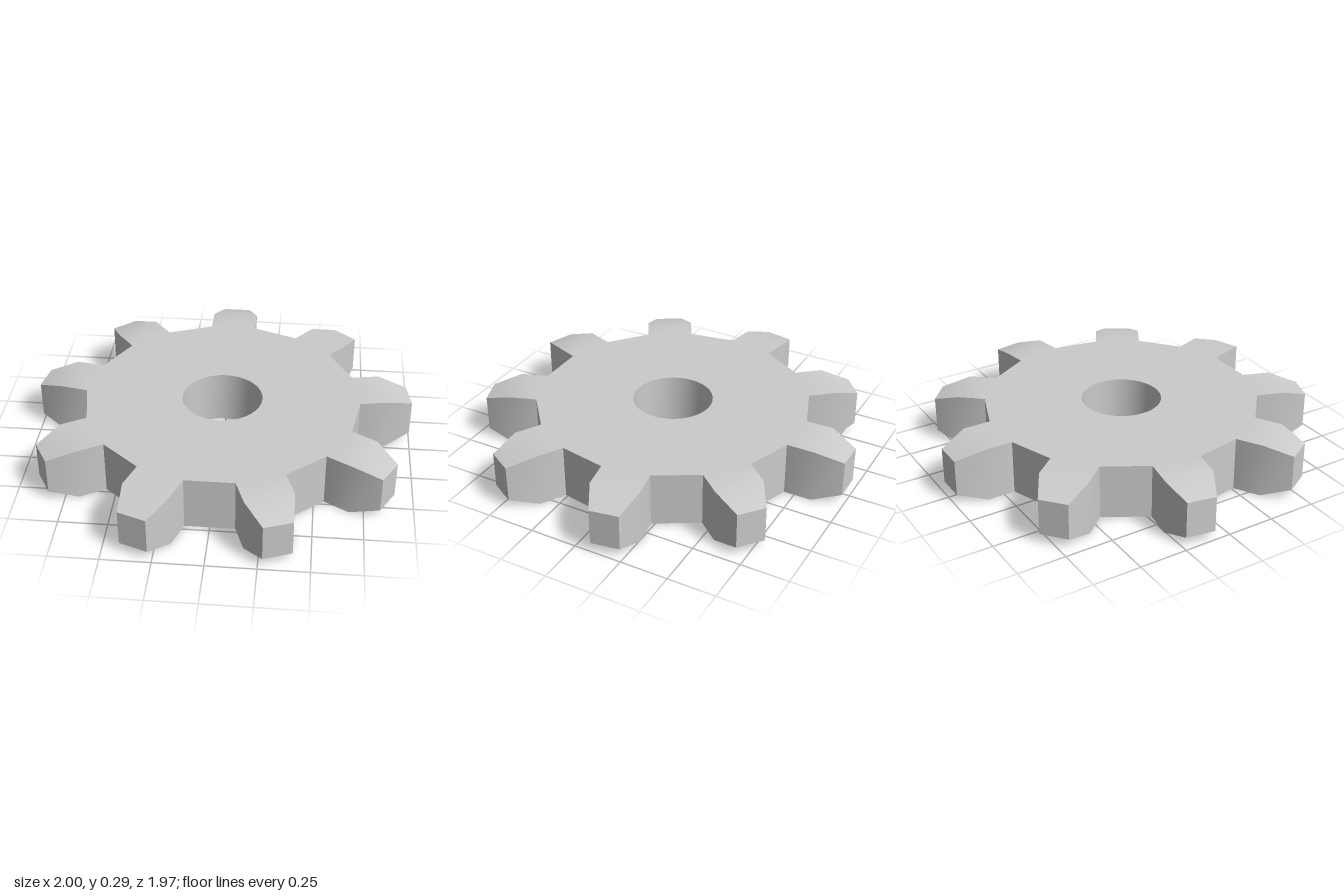
import * as THREE from 'three';
import { toCreasedNormals } from 'three/addons/utils/BufferGeometryUtils.js';

const TEETH = 9, HOLE_SEGMENTS = 36, HOLE_RADIUS = 0.21;
const HALF = 0.143;        // half thickness of the disc
const TIP_HALF = 0.095;    // half thickness at the tooth tips
const CENTRE_Z = 0.015;

export function createModel() {
  const positions = [];
  const point = (x, z, h = HALF) => ({ x, z, h });
  const put = (p, side) => positions.push(p.x, HALF + side * p.h, p.z + CENTRE_Z);

  // One triangle on the upper face and its mirror on the lower face
  const cap = (a, b, c) => {
    const up = (b.z - a.z) * (c.x - a.x) - (b.x - a.x) * (c.z - a.z) > 0;
    const [p, q, r] = up ? [a, b, c] : [a, c, b];
    put(p, 1); put(q, 1); put(r, 1);
    put(p, -1); put(r, -1); put(q, -1);
  };
  const capQuad = (a, b, c, d) => { cap(a, b, c); cap(a, c, d); };

  // Upright wall between two points, facing left of the walk seen from above
  const wall = (p, q) => {
    put(p, 1); put(q, 1); put(q, -1);
    put(p, 1); put(q, -1); put(p, -1);
  };

  // Teeth: straight root section, then a tip tapered in width and thickness
  const teeth = [];
  for (let i = 0; i < TEETH; i++) {
    const a = (i / TEETH) * Math.PI * 2, s = Math.sin(a), c = Math.cos(a);
    const at = (across, radius, h) => point(s * radius + c * across, -c * radius + s * across, h);
    teeth.push([
      at(-0.125, 0.71), at(-0.125, 0.855), at(-0.075, 1, TIP_HALF),
      at(0.075, 1, TIP_HALF), at(0.125, 0.855), at(0.125, 0.71),
    ]);
  }
  const rim = [];
  teeth.forEach((t, i) => {
    for (let k = 0; k < 5; k++) wall(t[k], t[k + 1]);
    wall(t[5], teeth[(i + 1) % TEETH][0]);
    capQuad(t[0], t[1], t[4], t[5]);
    capQuad(t[1], t[2], t[3], t[4]);
    rim.push(t[0], t[5]);
  });

  // Centre bore
  const bore = [];
  for (let i = 0; i < HOLE_SEGMENTS; i++) {
    const a = (i / HOLE_SEGMENTS) * Math.PI * 2;
    bore.push(point(Math.sin(a) * HOLE_RADIUS, -Math.cos(a) * HOLE_RADIUS));
  }
  bore.forEach((p, i) => wall(bore[(i + 1) % HOLE_SEGMENTS], p));

  // Flat faces between the bore and the tooth roots
  const flat = (list) => list.map((p) => new THREE.Vector2(p.x, p.z));
  const all = [...rim, ...bore];
  for (const [a, b, c] of THREE.ShapeUtils.triangulateShape(flat(rim), [flat(bore)])) {
    cap(all[a], all[b], all[c]);
  }

  const geometry = new THREE.BufferGeometry();
  geometry.setAttribute('position', new THREE.Float32BufferAttribute(positions, 3));
  const gear = new THREE.Mesh(
    toCreasedNormals(geometry, 0.5),
    new THREE.MeshStandardMaterial({ color: 0xcccccc })
  );
  gear.name = 'gearWheel';

  const group = new THREE.Group();
  group.name = 'gear';
  group.add(gear);
  return group;
}
